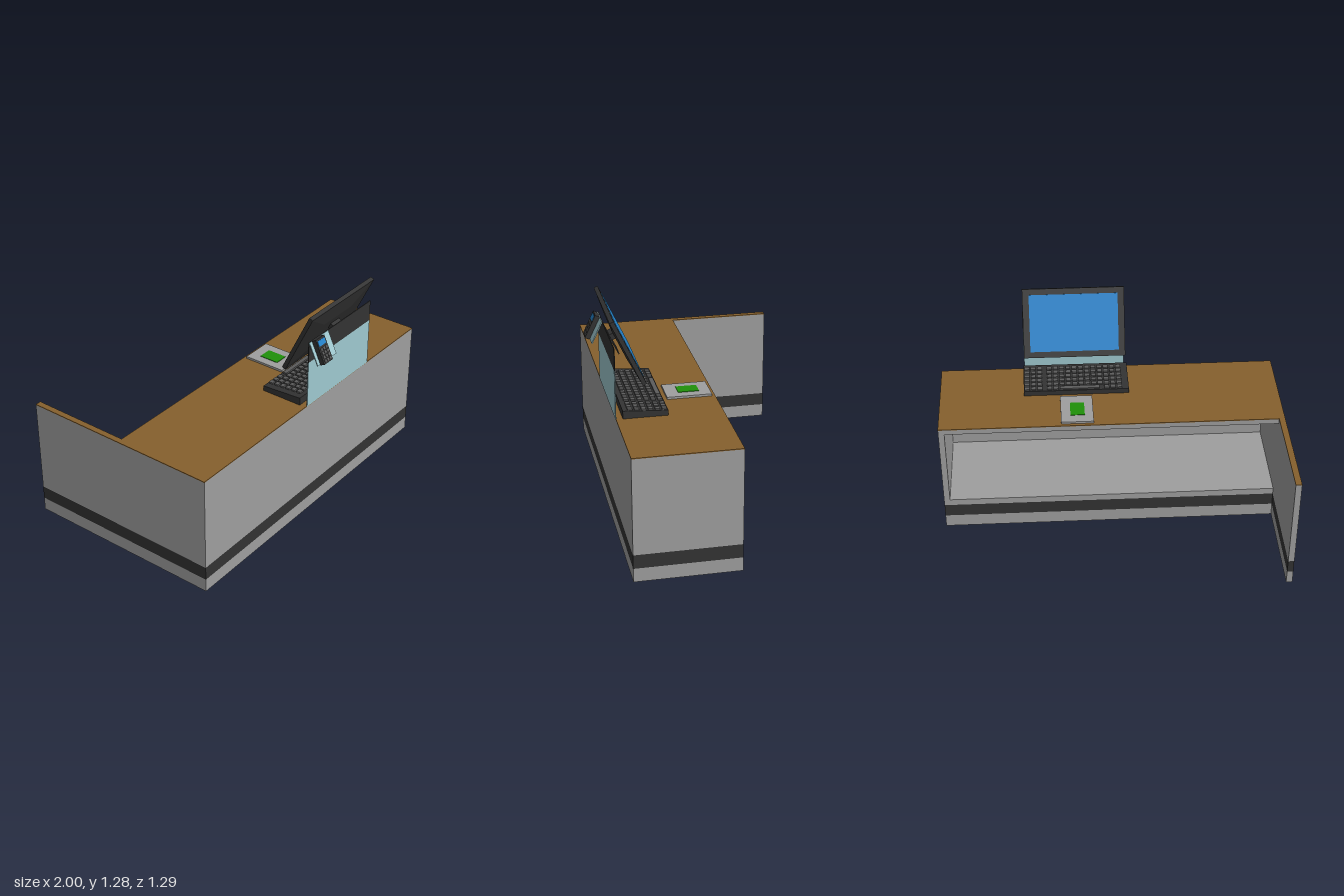
import * as THREE from 'three';

const mat = (name, color) => {
  const m = new THREE.MeshStandardMaterial({ color });
  m.name = name;
  return m;
};

export function createModel() {
  const root = new THREE.Group();
  root.name = 'checkoutCounter';

  const grey = mat('panelGrey', 0x9f9f9f);
  const dark = mat('charcoal', 0x333333);
  const wood = mat('wood', 0x86602d);
  const glass = mat('paleGlass', 0x9fc9d0);
  const blue = mat('screenBlue', 0x2482c9);
  const green = mat('scanGreen', 0x1f910a);
  const keyGrey = mat('keyGrey', 0x5c5c5c);

  const add = (parent, name, geo, material) => {
    const mesh = new THREE.Mesh(geo, material);
    mesh.name = name;
    parent.add(mesh);
    return mesh;
  };
  // Box given by its minimum and maximum on each axis
  const box = (parent, name, material, x0, x1, y0, y1, z0, z1) => {
    const mesh = add(parent, name, new THREE.BoxGeometry(x1 - x0, y1 - y0, z1 - z0), material);
    mesh.position.set((x0 + x1) / 2, (y0 + y1) / 2, (z0 + z1) / 2);
    return mesh;
  };
  const group = (name, x, y, z, tilt) => {
    const g = new THREE.Group();
    g.name = name;
    g.position.set(x, y, z);
    g.rotation.x = tilt;
    root.add(g);
    return g;
  };

  const T = 0.035, BACK = -0.042, FRONT = 0.552, END = -0.645, TOP = 0.72, SHEET = 0.005;
  const baseMats = [grey, grey, grey, wood, grey, grey];

  // Plinth and dark band, shared by the cabinet and the side panel
  for (const [part, x1, z0, z1] of [['cabinet', 1, BACK, FRONT], ['sidePanel', -1 + T, END, BACK]]) {
    box(root, part + 'Plinth', baseMats, -1, x1, 0, 0.08, z0, z1);
    box(root, part + 'Band', dark, -1, x1, 0.08, 0.16, z0, z1);
    box(root, part + 'WoodTop', wood, -1, x1, TOP - SHEET, TOP, z0, z1);
  }
  box(root, 'sidePanelWall', grey, -1, -1 + T, 0.16, TOP - SHEET, END, BACK);

  // Hollow cabinet, open to the back
  box(root, 'cabinetFloor', grey, -1, 1, 0.16, 0.2, BACK, FRONT);
  box(root, 'cabinetCeiling', grey, -1, 1, TOP - T, TOP - SHEET, BACK, FRONT);
  box(root, 'cabinetFrontWall', grey, -1, 1, 0.2, TOP - T, FRONT - T, FRONT);
  for (const s of [-1, 1]) {
    const a = s, b = s * (1 - T);
    box(root, 'cabinetEndWall', grey, Math.min(a, b), Math.max(a, b), 0.2, TOP - T, BACK, FRONT - T);
  }

  // Screen guard at the front edge
  box(root, 'glassGuard', glass, -0.1, 0.5, TOP, 1.0, 0.55, 0.555);
  box(root, 'guardHeader', dark, -0.1, 0.5, 1.0, 1.125, 0.55, 0.555);

  // Scanner pad
  box(root, 'scannerPad', grey, 0.105, 0.293, TOP, 0.733, -0.023, 0.232);
  box(root, 'scannerWindow', green, 0.155, 0.238, 0.733, 0.736, 0.04, 0.16);

  // Monitor: its screen faces the back, leaning away
  const monitor = group('monitor', 0.198, 1.088, 0.478, 0.44);
  box(monitor, 'monitorFrame', dark, -0.298, 0.298, -0.203, 0.203, -0.014, 0.01);
  box(monitor, 'monitorScreen', blue, -0.26, 0.26, -0.168, 0.168, -0.017, -0.013);
  const hump = new THREE.BoxGeometry(0.58, 0.39, 0.014);
  const hp = hump.attributes.position;
  for (let i = 0; i < hp.count; i++) {
    if (hp.getZ(i) > 0) hp.setXY(i, hp.getX(i) * 0.45, hp.getY(i) * 0.45);
  }
  hump.computeVertexNormals();
  add(monitor, 'monitorBack', hump, dark).position.z = 0.017;

  // Bracket between guard and monitor
  const bracket = group('monitorBracket', 0.198, 1.06, 0.521, 0.46);
  box(bracket, 'bracketPlate', dark, -0.06, 0.06, -0.069, 0.069, -0.003, 0.003);
  box(bracket, 'bracketArm', dark, -0.04, 0.04, 0.015, 0.05, -0.03, 0);

  // Keyboard with a gently sloping top
  const keyboard = group('keyboard', 0.195, TOP, 0.39, 0);
  const caseGeo = new THREE.BoxGeometry(0.62, 0.04, 0.25);
  const cp = caseGeo.attributes.position;
  const slopeY = (z) => 0.038 + z * 0.06;
  for (let i = 0; i < cp.count; i++) cp.setY(i, cp.getY(i) < 0 ? 0 : slopeY(cp.getZ(i)));
  caseGeo.computeVertexNormals();
  add(keyboard, 'keyboardCase', caseGeo, dark);
  const key = (x, z, w) => {
    const k = add(keyboard, 'key', new THREE.BoxGeometry(w, 0.012, 0.026), keyGrey);
    k.position.set(x, slopeY(z) + 0.003, z);
    k.rotation.x = -0.06;
  };
  for (let row = 0; row < 6; row++) {
    const z = -0.105 + row * 0.038;
    for (let col = 0; col < 12; col++) {
      if (row > 0 || col < 3 || col > 8) key(-0.255 + col * 0.0375, z, 0.029);
    }
    if (row === 0) key(-0.03, z, 0.215);
    for (let col = 0; col < 3; col++) key(0.215 + col * 0.0375, z, 0.029);
  }

  // Payment terminal on a sloping holder in front of the guard
  const holder = group('terminalHolder', -0.012, 1.0625, 0.585, -0.445);
  box(holder, 'holderPlate', glass, -0.088, 0.088, -0.069, 0.069, -0.003, 0.003);
  const terminal = group('paymentTerminal', -0.038, 1.069, 0.601, -0.445);
  box(terminal, 'terminalBody', dark, -0.04, 0.04, -0.072, 0.072, -0.014, 0.014);
  box(terminal, 'terminalScreen', blue, -0.032, 0.032, 0.03, 0.062, 0.013, 0.016);
  for (let row = 0; row < 4; row++) {
    for (let col = -1; col <= 1; col++) {
      const x = col * 0.022, y = 0.012 - row * 0.022;
      box(terminal, 'terminalKey', keyGrey, x - 0.008, x + 0.008, y - 0.007, y + 0.007, 0.012, 0.018);
    }
  }

  return root;
}
